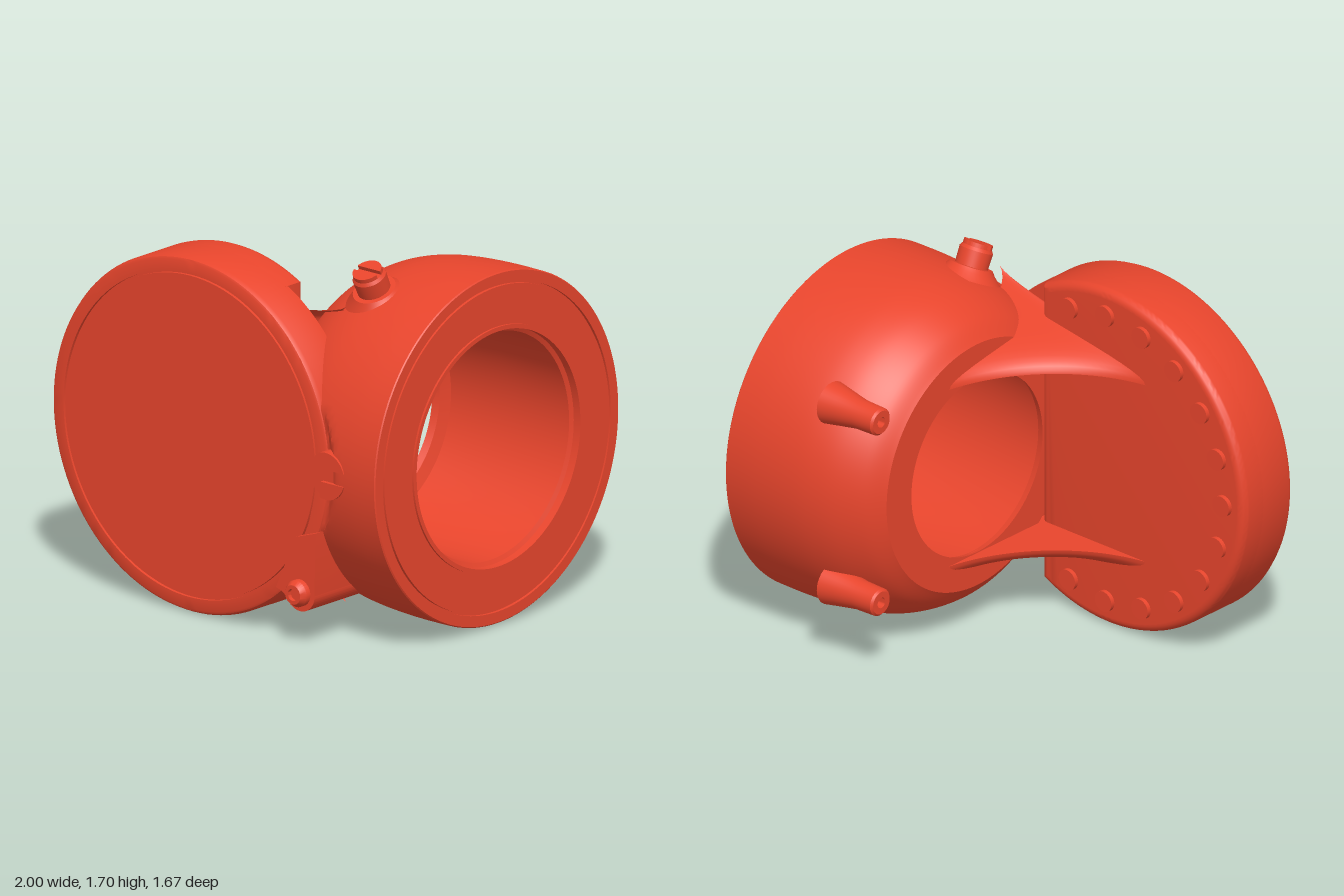
import * as THREE from 'three';
import { toCreasedNormals } from 'three/addons/utils/BufferGeometryUtils.js';

const CY = 0.83, RING_Z = -0.02, DISC_X = -0.165;
const red = new THREE.MeshStandardMaterial({ color: 0xe8452c });
const redThin = new THREE.MeshStandardMaterial({ color: 0xe8452c, side: THREE.DoubleSide });
const v2 = (p) => new THREE.Vector2(p[0], p[1]);

export function createModel() {
  const model = new THREE.Group();
  const add = (name, geo, pos = [0, 0, 0], parent = model, mat = red) => {
    const mesh = new THREE.Mesh(toCreasedNormals(geo, 0.6), mat);
    mesh.name = name;
    mesh.position.set(...pos);
    parent.add(mesh);
    return mesh;
  };
  const lathe = (pts, n) => new THREE.LatheGeometry(pts.map(v2), n);

  // Ring housing: domed outside, grooved face, bore with a lip at the inner end
  const dome = new THREE.SplineCurve([[0.6, 0.215], [0.68, 0.285], [0.75, 0.4], [0.79, 0.52],
    [0.81, 0.65], [0.82, 0.82], [0.82, 0.985]].map(v2)).getPoints(40).map((p) => [p.x, p.y]);
  const ring = lathe([[0.435, 0.215], ...dome, [0.815, 0.99], [0.765, 0.99], [0.765, 0.975], [0.755, 0.975],
    [0.755, 0.99], [0.57, 0.99], [0.57, 1.0], [0.55, 1.0], [0.55, 0.96], [0.53, 0.95],
    [0.525, 0.6], [0.5, 0.27], [0.445, 0.25], [0.435, 0.215]], 160).rotateZ(-Math.PI / 2);
  // Flatten the housing where the disc face crosses it
  const rp = ring.attributes.position;
  for (let i = 0; i < rp.count; i++) {
    const d = Math.hypot(rp.getX(i) - DISC_X, rp.getY(i));
    const limit = 0.735 + Math.max(0, d - 0.84) * 0.9;
    if (rp.getZ(i) + RING_Z > limit) rp.setZ(i, limit - RING_Z);
  }
  add('ringHousing', ring, [0, CY, RING_Z]);

  // Front disc: full round plate with a fine groove
  add('discPlate', lathe([[0, 0.53], [0.83, 0.53], [0.83, 0.72], [0.82, 0.74], [0.81, 0.745], [0.757, 0.745],
    [0.757, 0.73], [0.747, 0.73], [0.747, 0.745], [0, 0.745]], 128).rotateX(Math.PI / 2), [DISC_X, CY, 0]);

  // Rear layer of the disc, cut off where the ring bore begins
  const r = 0.79, cut = Math.acos((0.19 - DISC_X) / r);
  const rear = new THREE.Shape();
  rear.absarc(0, 0, r, cut, 2 * Math.PI - cut, false);
  rear.closePath();
  add('discRear', new THREE.ExtrudeGeometry(rear, { depth: 0.09, curveSegments: 96,
    bevelThickness: 0.04, bevelSize: 0.04, bevelSegments: 6 }), [DISC_X, CY, 0.46]);

  // Round studs along the rear rim
  for (let i = -6; i <= 6; i++) {
    const a = Math.PI + i * Math.PI / 10;
    add('rimStud', new THREE.CylinderGeometry(0.05, 0.05, 0.04, 24).rotateX(Math.PI / 2),
      [DISC_X + 0.71 * Math.cos(a), CY + 0.71 * Math.sin(a), 0.42]);
  }

  // Curved webs bracing disc to ring, above and below the opening
  const webGeometry = () => {
    const N = 32, M = 16, pos = [], idx = [];
    for (let j = -1; j <= M; j++) {
      const t = Math.max(j, 0) / M;
      const k = j < 0 ? 0 : 0.5 + 0.5 * Math.cos(Math.PI * t);
      const cx = 0.25 + 0.3 * t, cz = 0.47 + 0.03 * t;
      for (let i = 0; i <= N; i++) {
        const a = (i / N) * Math.PI / 2;
        const ax = -0.52 + 0.75 * Math.cos(a), az = -0.36 + 0.79 * Math.sin(a);
        pos.push(cx + (ax - cx) * k, 0.44 + 0.25 * t, cz + (az - cz) * k);
      }
    }
    for (let j = 0; j <= M; j++) for (let i = 0; i < N; i++) {
      const a = j * (N + 1) + i, b = a + N + 1;
      idx.push(a, b, a + 1, a + 1, b, b + 1);
    }
    const g = new THREE.BufferGeometry();
    g.setAttribute('position', new THREE.Float32BufferAttribute(pos, 3));
    g.setIndex(idx);
    return g;
  };
  for (const s of [1, -1]) {
    const web = add(s > 0 ? 'upperWeb' : 'lowerWeb', webGeometry(), [0, CY, 0], model, redThin);
    web.scale.y = s;
  }

  // Drilled bosses on the back of the ring
  for (const s of [1, -1]) {
    add('rearBoss', lathe([[0, 0.06], [0.025, 0.06], [0.025, 0], [0.055, 0], [0.065, 0.01], [0.068, 0.12],
      [0.085, 0.22], [0.1, 0.3], [0, 0.3]].map(([x, y]) => [x, y]), 32).rotateZ(-Math.PI / 2),
      [0.205, CY + 0.45 * s, -0.665]);
  }

  // Lug with a screw at the lower front
  const lug = new THREE.Shape();
  lug.moveTo(0.61, 0.24);
  lug.lineTo(0.62, 0.54);
  lug.lineTo(0.5, 0.5);
  lug.lineTo(0.38, 0.24);
  lug.quadraticCurveTo(0.44, 0.23, 0.47, 0.175);
  lug.absarc(0.525, 0.245, 0.087, Math.PI * 1.28, Math.PI * 2, false);
  add('frontLug', new THREE.ExtrudeGeometry(lug, { depth: 0.36, bevelEnabled: false, curveSegments: 24 }),
    [0, 0, 0.42]);
  add('lugScrew', lathe([[0, 0], [0.062, 0], [0.062, 0.035], [0.045, 0.06], [0.028, 0.06], [0.028, 0.04], [0, 0.04]], 32)
    .rotateX(Math.PI / 2), [0.525, 0.245, 0.77]);

  // Slotted adjuster beside the disc
  add('adjusterBase', new THREE.CylinderGeometry(0.11, 0.11, 0.1, 48).rotateX(Math.PI / 2), [0.7, CY, 0.735]);
  for (const s of [0, 1]) {
    const half = new THREE.Shape();
    half.absarc(0, 0, 0.11, 0.28 + s * Math.PI, Math.PI - 0.28 + s * Math.PI, false);
    const seg = new THREE.ExtrudeGeometry(half, { depth: 0.03, bevelEnabled: false, curveSegments: 24 });
    // Keep the halves clear of the disc face
    const p = seg.attributes.position;
    for (let i = 0; i < p.count; i++) {
      const edge = Math.sqrt(0.835 ** 2 - p.getY(i) ** 2) + DISC_X - 0.7;
      p.setX(i, Math.max(p.getX(i), edge));
    }
    add('adjusterHalf', seg, [0.7, CY, 0.775]);
  }

  // Slotted clamp screw on top, pointing out from the ring axis
  const screw = new THREE.Group();
  screw.name = 'clampScrew';
  screw.position.set(0.575, CY, RING_Z);
  screw.rotation.x = 0.45;
  model.add(screw);
  add('screwCollar', lathe([[0.15, 0.77], [0.115, 0.805], [0.1, 0.825], [0, 0.825]], 40), [0, 0, 0], screw);
  add('screwHead', lathe([[0.075, 0.78], [0.078, 0.9], [0.068, 0.915], [0, 0.915]], 40), [0, 0, 0], screw);
  for (const s of [0, 1]) {
    const half = new THREE.Shape();
    half.absarc(0, 0, 0.068, 0.2 + s * Math.PI, Math.PI - 0.2 + s * Math.PI, false);
    add('screwTop', new THREE.ExtrudeGeometry(half, { depth: 0.022, bevelEnabled: false, curveSegments: 20 })
      .rotateX(-Math.PI / 2), [0, 0.913, 0], screw);
  }
  add('screwTip', new THREE.CylinderGeometry(0.045, 0.045, 0.1, 24), [0, 0.52, 0], screw);

  return model;
}
